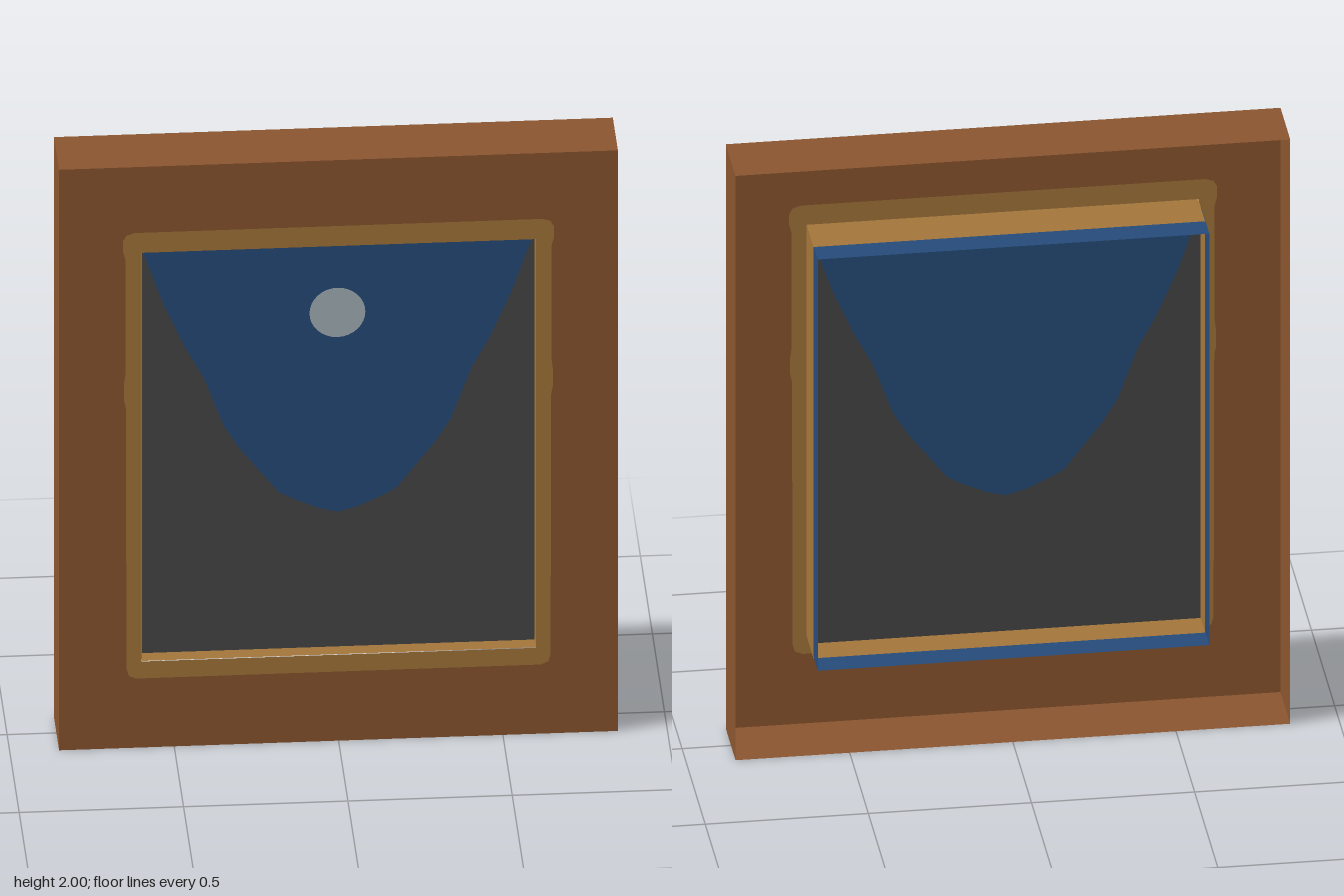
import * as THREE from 'three';
import { mergeGeometries } from 'three/addons/utils/BufferGeometryUtils.js';

const FRONT = 0.112, BACK = -0.098;     // frame depth
const PICTURE = 0.062, RIM = -0.114;    // picture plane and back rim
const GOLD_BACK = -0.035;               // rear edge of the gold liner

function material(name, color, side = THREE.DoubleSide) {
  const m = new THREE.MeshStandardMaterial({ color, side });
  m.name = name;
  return m;
}

// Four thin walls around a rectangle, open at front and back
function walls(x0, x1, y0, y1, z0, z1) {
  const w = x1 - x0, h = y1 - y0, d = z1 - z0;
  const cx = (x0 + x1) / 2, cy = (y0 + y1) / 2, cz = (z0 + z1) / 2;
  return mergeGeometries([
    new THREE.PlaneGeometry(d, h).rotateY(Math.PI / 2).translate(x1, cy, cz),
    new THREE.PlaneGeometry(d, h).rotateY(-Math.PI / 2).translate(x0, cy, cz),
    new THREE.PlaneGeometry(w, d).rotateX(-Math.PI / 2).translate(cx, y1, cz),
    new THREE.PlaneGeometry(w, d).rotateX(Math.PI / 2).translate(cx, y0, cz),
  ]);
}

const points = (list) => list.map(([x, y]) => new THREE.Vector2(x, y));
const rectangle = (x, y0, y1) => points([[-x, y0], [x, y0], [x, y1], [-x, y1]]);

// Flat face with an optional hole
function face(outline, hole, z) {
  const shape = new THREE.Shape(outline);
  if (hole) shape.holes.push(new THREE.Path(hole));
  return new THREE.ShapeGeometry(shape).translate(0, 0, z);
}

export function createModel() {
  const group = new THREE.Group();
  const wood = material('wood brown', 0x8a552f);
  const gold = material('dull gold', 0xa3753a);
  const blue = material('deep blue', 0x254b79);
  const gray = material('dark gray', 0x464646);
  const pale = material('pale gray', 0xa4b1b8, THREE.FrontSide);

  const add = (name, geometry, mat) => {
    const mesh = new THREE.Mesh(geometry, mat);
    mesh.name = name;
    group.add(mesh);
  };

  // Rounded outline of the gold trim, right half then mirrored
  const half = [
    [0.615, 0.238], [0.638, 0.248], [0.645, 0.272], [0.647, 1.17], [0.653, 1.2],
    [0.653, 1.25], [0.648, 1.29], [0.648, 1.68], [0.656, 1.71], [0.656, 1.745],
    [0.645, 1.765], [0.62, 1.773],
  ];
  const trim = points([...half, ...half.map(([x, y]) => [-x, y]).reverse()]);
  const opening = rectangle(0.6, 0.296, 1.704);

  // Hollow frame, open at the back
  add('frameFront', face(rectangle(0.85, 0, 2), trim, FRONT), wood);
  add('frameSides', walls(-0.85, 0.85, 0, 2, BACK, FRONT), wood);

  // Gold trim and liner around the opening
  add('trim', face(trim, opening, FRONT), gold);
  add('liner', walls(-0.598, 0.602, 0.298, 1.706, GOLD_BACK, FRONT), gold);

  // Recessed picture: a blue curve above a dark ground
  const curve = [
    [0, 0.762], [0.06, 0.778], [0.13, 0.81], [0.178, 0.836], [0.3, 0.995],
    [0.345, 1.07], [0.408, 1.243], [0.463, 1.345], [0.53, 1.5], [0.6, 1.704],
  ];
  const left = curve.slice(1).map(([x, y]) => [-x, y]).reverse();
  const arc = [...left, ...curve];
  add('pictureSky', face(points(arc), null, PICTURE), blue);
  add('pictureGround', face(points([[-0.6, 0.296], [0.6, 0.296], ...arc.slice().reverse()]), null, PICTURE), gray);
  add('pictureSides', walls(-0.6, 0.6, 0.296, 1.704, RIM, PICTURE), blue);

  // Pale disc on the picture
  add('moon', new THREE.CircleGeometry(0.085, 32).translate(0, 1.45, PICTURE + 0.003), pale);

  return group;
}
